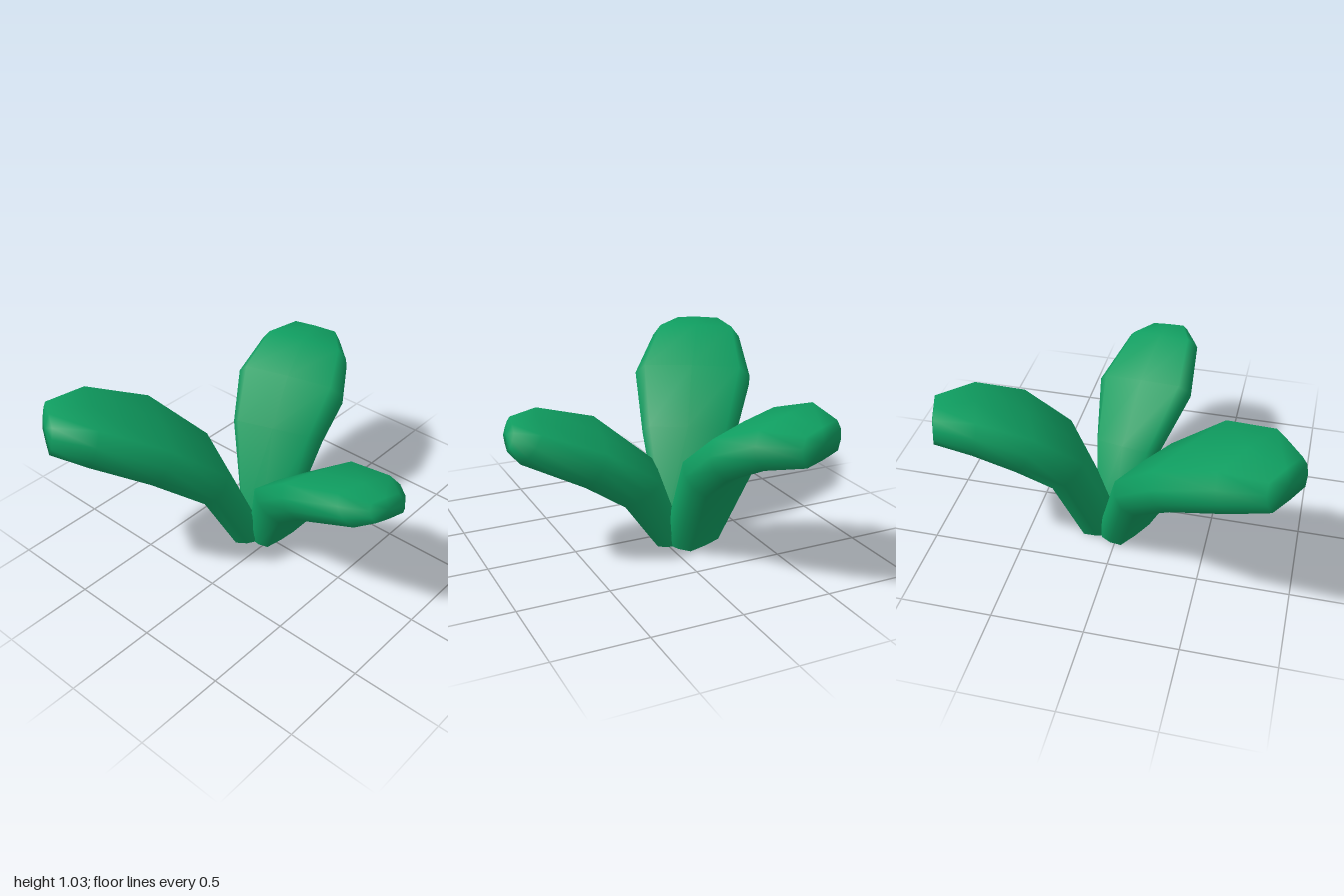
import * as THREE from 'three';
import { mergeVertices } from 'three/addons/utils/BufferGeometryUtils.js';

// Rounded slab section: [across, through], counter-clockwise seen from the tip
const SECTION = [
  [1, -0.35], [1, 0.35], [0.82, 1], [0, 1.06], [-0.82, 1],
  [-1, 0.35], [-1, -0.35], [-0.82, -1], [0, -1.06], [0.82, -1],
];

// Leaves: stations are [top reach, top y, underside reach, underside y, half width]
const LEAVES = [
  {
    name: 'frontLeaf', origin: [0.055, -0.12], heading: [-0.125, 0.97], roll: -0.16,
    stations: [
      [0, 0, 0.165, 0, 0.125],
      [0.14, 0.42, 0.345, 0.30, 0.19],
      [0.46, 0.665, 0.58, 0.49, 0.28],
      [0.79, 0.775, 0.91, 0.63, 0.21],
      [0.935, 0.77, 0.975, 0.67, 0.115],
    ],
  },
  {
    name: 'leftLeaf', origin: [0.04, -0.12], heading: [0.94, -0.345], roll: 0.1,
    stations: [
      [-0.01, 0, 0.20, 0, 0.14],
      [0.21, 0.58, 0.38, 0.43, 0.26],
      [0.46, 0.79, 0.56, 0.59, 0.315],
      [0.73, 0.89, 0.77, 0.69, 0.265],
      [0.945, 0.875, 0.96, 0.72, 0.155],
    ],
  },
  {
    name: 'backRightLeaf', origin: [0.03, -0.16], heading: [-0.86, -0.51], roll: 0,
    stations: [
      [-0.03, 0, 0.15, 0, 0.145],
      [0.21, 0.57, 0.35, 0.42, 0.27],
      [0.52, 0.855, 0.645, 0.67, 0.345],
      [0.87, 1.02, 0.95, 0.81, 0.27],
      [1.09, 1.025, 1.125, 0.865, 0.155],
    ],
  },
];

// Loft one thick leaf through its stations, closed at the tip and open at the foot
function leafGeometry({ origin, heading, roll, stations }) {
  const forward = new THREE.Vector3(heading[0], 0, heading[1]).normalize();
  const across = new THREE.Vector3(forward.z, 0, -forward.x);
  const start = new THREE.Vector3(origin[0], 0, origin[1]);
  const place = (reach, y) => start.clone().addScaledVector(forward, reach).setY(y);

  const rings = stations.map(([ts, ty, bs, by, w]) => {
    const top = place(ts, ty), bottom = place(bs, by);
    const mid = top.clone().add(bottom).multiplyScalar(0.5);
    const half = top.clone().sub(mid);
    const up = half.clone().normalize();
    const tilt = roll * Math.min(1, ty / 0.4);
    return SECTION.map(([u, v]) => mid.clone()
      .addScaledVector(across, u * w)
      .addScaledVector(half, v)
      .addScaledVector(up, tilt * u * w));
  });

  const n = SECTION.length, positions = [];
  const tri = (...points) => points.forEach(p => positions.push(p.x, p.y, p.z));
  const tip = rings[rings.length - 1];
  const tipCentre = tip.reduce((sum, p) => sum.add(p), new THREE.Vector3())
    .divideScalar(n).addScaledVector(forward, 0.012);
  for (let j = 0; j < n; j++) {
    const k = (j + 1) % n;
    for (let i = 0; i + 1 < rings.length; i++) {
      const a = rings[i], b = rings[i + 1];
      tri(a[j], a[k], b[k]);
      tri(a[j], b[k], b[j]);
    }
    tri(tip[j], tip[k], tipCentre);
  }
  const triangles = new THREE.BufferGeometry();
  triangles.setAttribute('position', new THREE.Float32BufferAttribute(positions, 3));
  const smooth = mergeVertices(triangles);
  smooth.computeVertexNormals();
  return smooth;
}

export function createModel() {
  const plant = new THREE.Group();
  plant.name = 'plant';
  // Double sided because each leaf is hollow at its foot
  const leafGreen = new THREE.MeshStandardMaterial({ color: 0x0f9d60, side: THREE.DoubleSide });
  leafGreen.name = 'leaf green';

  for (const leaf of LEAVES) {
    const blade = new THREE.Mesh(leafGeometry(leaf), leafGreen);
    blade.name = leaf.name;
    plant.add(blade);
  }
  return plant;
}
